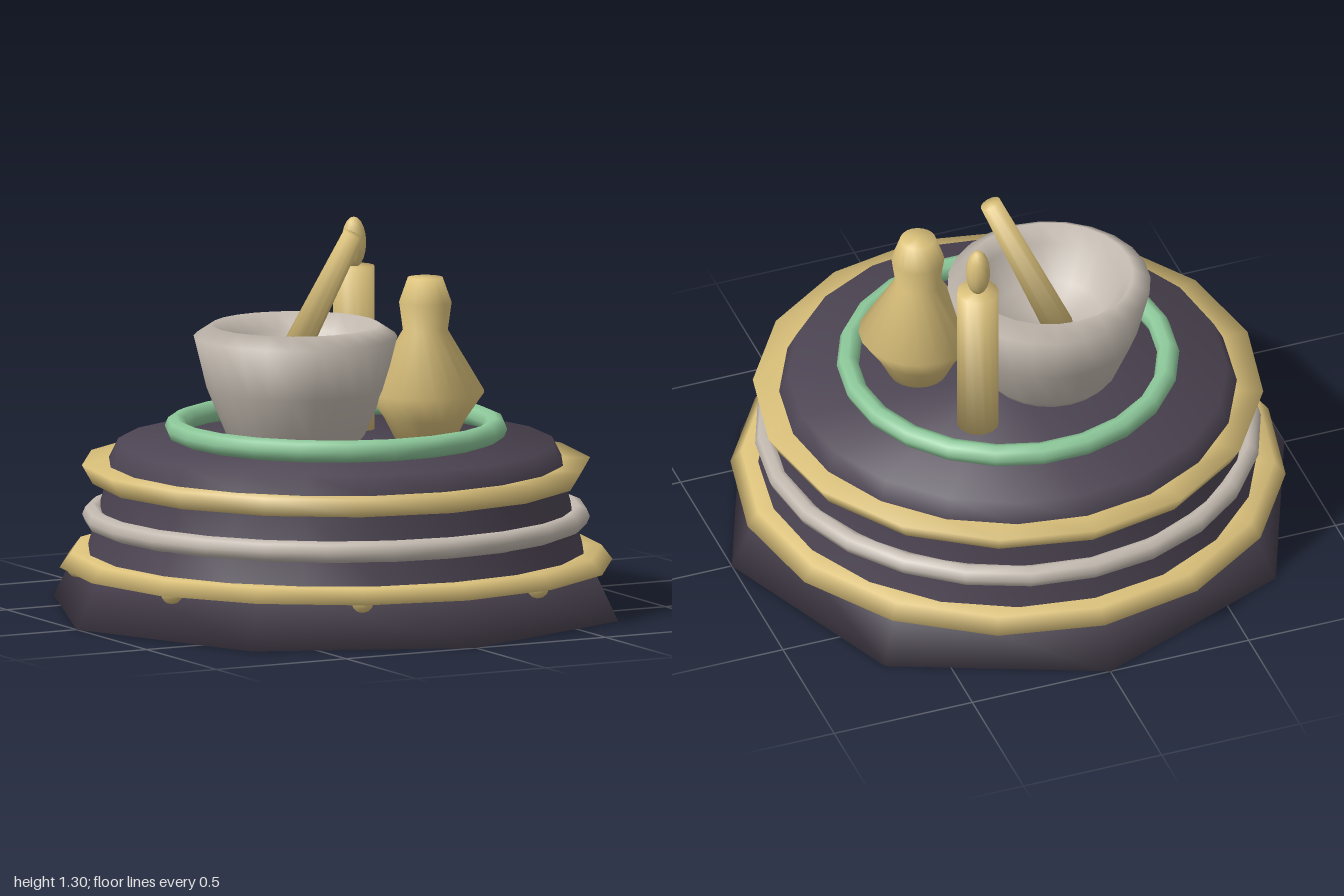
import * as THREE from 'three';

const material = (name, color) => {
  const m = new THREE.MeshStandardMaterial({ color });
  m.name = name;
  return m;
};

// Turned solid from a [radius, height] profile, with normals rounded evenly over every edge
function turned(profile, sides) {
  const pts = profile.map(p => new THREE.Vector2(...p));
  const geometry = new THREE.LatheGeometry(pts, sides);
  const edges = pts.slice(1).map((p, j) =>
    new THREE.Vector2(p.y - pts[j].y, pts[j].x - p.x).normalize());
  const normal = geometry.attributes.normal;
  for (let i = 0; i < normal.count; i++) {
    const j = i % pts.length;
    const a = Math.floor(i / pts.length) / sides * Math.PI * 2;
    const n = edges[Math.max(j - 1, 0)].clone().add(edges[Math.min(j, edges.length - 1)]).normalize();
    normal.setXYZ(i, n.x * Math.sin(a), n.y, n.x * Math.cos(a));
  }
  return geometry;
}

export function createModel() {
  const model = new THREE.Group();
  model.name = 'mortarPedestal';
  const dark = material('dark plum', 0x4c4452);
  const gold = material('brass', 0xdbc17b);
  const stone = material('pale stone', 0xc2b9af);
  const green = material('jade', 0x8cc799);

  const add = (name, geometry, mat, x = 0, y = 0, z = 0) => {
    const mesh = new THREE.Mesh(geometry, mat);
    mesh.name = name;
    mesh.position.set(x, y, z);
    model.add(mesh);
    return mesh;
  };
  const turn = (name, profile, sides, mat, x = 0, z = 0) =>
    add(name, turned(profile, sides), mat, x, 0, z);
  // Horizontal torus
  const hoop = (name, radius, tube, y, sides, mat) =>
    add(name, new THREE.TorusGeometry(radius, tube, 8, sides).rotateX(Math.PI / 2), mat, 0, y, 0);

  // Solid octagonal foot and the round drum above it
  turn('foot', [[0, 0], [1, 0], [0.9, 0.2], [0, 0.2]], 8, dark);
  turn('drum', [[0.85, 0.2], [0.78, 0.45], [0.78, 0.5], [0.745, 0.57], [0, 0.57]], 20, dark);

  // Bands around the drum
  turn('lowerBand', [[0.82, 0.155], [0.943, 0.155], [0.905, 0.205], [0.82, 0.205]], 16, gold);
  turn('upperBand', [[0.75, 0.44], [0.83, 0.44], [0.867, 0.505], [0.75, 0.505]], 16, gold);
  hoop('middleHoop', 0.825, 0.037, 0.32, 24, stone);
  hoop('topHoop', 0.545, 0.038, 0.622, 22, green);

  // Studs on the foot, one for each side
  for (let i = 0; i < 8; i++) {
    const a = (i + 0.5) * Math.PI / 4;
    add('stud', new THREE.SphereGeometry(0.04, 8, 6), gold, 0.883 * Math.sin(a), 0.16, 0.883 * Math.cos(a));
  }

  // Mortar bowl
  turn('mortar', [[0, 0.57], [0.21, 0.57], [0.235, 0.6], [0.302, 0.76], [0.346, 0.94], [0.285, 0.98],
    [0.25, 0.92], [0.18, 0.81], [0, 0.76]], 24, stone, -0.132, -0.045);

  // Pestle leaning in the bowl
  const low = new THREE.Vector3(-0.143, 0.8, -0.112);
  const axis = new THREE.Vector3(0.057, 1.283, 0.02).sub(low);
  const length = axis.length();
  const pestle = turn('pestle', [[0, 0], [0.052, 0], [0.036, length], [0, length]], 12, gold);
  pestle.position.copy(low);
  pestle.quaternion.setFromUnitVectors(new THREE.Vector3(0, 1, 0), axis.normalize());

  // Flask
  turn('flask', [[0, 0.57], [0.1, 0.57], [0.14, 0.65], [0.202, 0.74], [0.077, 0.95], [0.09, 1.045],
    [0.06, 1.13], [0, 1.13]], 20, gold, 0.286, 0.108);

  // Candle and flame
  turn('candle', [[0, 0.57], [0.071, 0.57], [0.071, 1.13], [0, 1.13]], 14, gold, 0.197, -0.238);
  add('flame', new THREE.SphereGeometry(0.042, 12, 10), gold, 0.197, 1.21, -0.238).scale.y = 2.1;

  return model;
}
